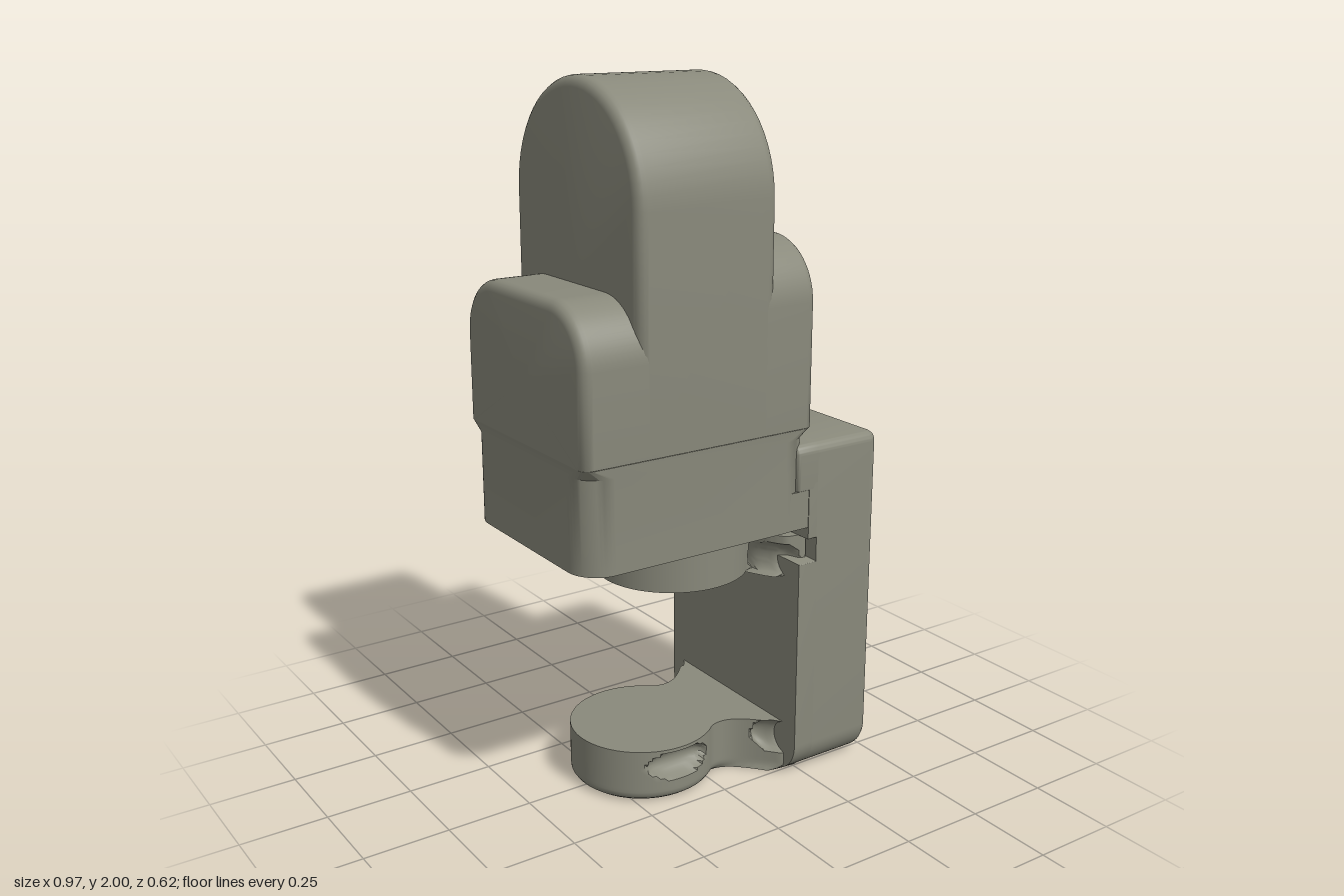
import * as THREE from 'three';
import { toCreasedNormals } from 'three/addons/utils/BufferGeometryUtils.js';

const material = new THREE.MeshStandardMaterial({ color: 0x89897b });
const D = 0.31; // half depth of the body

// Skin a list of equal-length rings and close both ends; faces are turned outwards.
function loft(rings) {
  const tris = [];
  const n = rings[0].length;
  for (let i = 0; i < rings.length - 1; i++) {
    for (let j = 0; j < n; j++) {
      const k = (j + 1) % n;
      const a = rings[i][j], b = rings[i][k], c = rings[i + 1][k], d = rings[i + 1][j];
      tris.push([a, b, c], [a, c, d]);
    }
  }
  const cap = (ring, flip) => {
    const mid = ring.reduce((s, p) => s.add(p), new THREE.Vector3()).divideScalar(n);
    ring.forEach((p, j) => {
      const q = ring[(j + 1) % n];
      tris.push(flip ? [mid, q, p] : [mid, p, q]);
    });
  };
  cap(rings[0], true);
  cap(rings[rings.length - 1], false);
  const cross = new THREE.Vector3();
  const volume = tris.reduce((s, [a, b, c]) => s + a.dot(cross.crossVectors(b, c)), 0);
  const points = tris.flatMap(([a, b, c]) => (volume > 0 ? [a, b, c] : [a, c, b]));
  return toCreasedNormals(new THREE.BufferGeometry().setFromPoints(points), 0.6);
}

// Rounded rectangle with separate radii for its lower and upper corners.
function outline(u0, u1, v0, v1, rLow, rHigh, steps = 14) {
  const a = Math.max(rLow, 0.002), b = Math.max(rHigh, 0.002);
  const corners = [[u1 - a, v0 + a, a], [u1 - b, v1 - b, b], [u0 + b, v1 - b, b], [u0 + a, v0 + a, a]];
  return corners.flatMap(([u, v, r], i) =>
    Array.from({ length: steps + 1 }, (_, k) => {
      const t = (i - 1 + k / steps) * Math.PI / 2;
      return [u + r * Math.cos(t), v + r * Math.sin(t)];
    }));
}

// Side profile swept along x, with rounded edges at either end.
function slab(x0, x1, y0, y1, rLow, rHigh, bevel0, bevel1) {
  const stations = [];
  const addBevel = (x, b, dir) => {
    const steps = b ? 4 : 0;
    const part = [];
    for (let k = 0; k <= steps; k++) {
      const t = steps ? (k / steps) * Math.PI / 2 : 0;
      part.push([x + dir * b * (1 - Math.cos(t)), b * (1 - Math.sin(t))]);
    }
    stations.push(...(dir > 0 ? part : part.reverse()));
  };
  addBevel(x0, bevel0, 1);
  addBevel(x1, bevel1, -1);
  return loft(stations.map(([x, inset]) =>
    outline(-D + inset, D - inset, y0 + (rLow ? inset : 0), y1 - inset, rLow - inset, rHigh - inset)
      .map(([z, y]) => new THREE.Vector3(x, y, z))));
}

// Clamp pad: a disc with a waisted neck flaring into the arm, and hollows in its sides.
function pad(cx, r, y0, y1, edge, hollows) {
  const start = Math.PI * 0.27;
  const sx = cx + r * Math.cos(start), sz = r * Math.sin(start);
  const shape = new THREE.Shape();
  shape.absarc(cx, 0, r, start, Math.PI * 2 - start, false);
  shape.bezierCurveTo(sx + 0.06, -sz + 0.03, 0.13, -0.17, 0.2, -0.26);
  shape.lineTo(0.26, -0.27);
  shape.lineTo(0.26, 0.27);
  shape.lineTo(0.2, 0.26);
  shape.bezierCurveTo(0.13, 0.17, sx + 0.06, sz - 0.03, sx, sz);
  const points = shape.getSpacedPoints(180).slice(0, -1);
  const rings = [];
  for (let i = 0; i <= 16; i++) {
    const y = y0 + (y1 - y0) * i / 16;
    const drop = Math.max(0, 1 - (y - y0) / edge);
    const scale = 1 - 0.1 * drop * drop;
    rings.push(points.map((p) => {
      let x = cx + (p.x - cx) * scale, z = p.y * scale;
      for (const [hx, hy, rx, ry, depth] of hollows) {
        const d = ((x - hx) / rx) ** 2 + ((y - hy) / ry) ** 2;
        if (d < 1) z -= Math.sign(z) * depth * Math.sqrt(1 - d);
      }
      return new THREE.Vector3(x, y, z);
    }));
  }
  return loft(rings);
}

export function createModel() {
  const group = new THREE.Group();
  const add = (name, geometry, x = 0, y = 0, z = 0) => {
    const mesh = new THREE.Mesh(geometry, material);
    mesh.name = name;
    mesh.position.set(x, y, z);
    group.add(mesh);
  };

  // Arched head and the two shoulders beside it
  add('head', slab(-0.32, 0.11, 1.06, 2, 0, D, 0.03, 0.03));
  add('lowShoulder', slab(-0.485, 0.1, 1.06, 1.47, 0, 0.16, 0.03, 0));
  add('highShoulder', slab(-0.1, 0.243, 1.06, 1.575, 0, 0.17, 0, 0.025));

  // Base block, its rounded corners spreading to the sharper body above
  const base = [[0.77, 0.09], [1.03, 0.09], [1.06, 0.03]];
  add('baseBlock', loft(base.map(([y, r]) =>
    outline(-0.485, 0.243, -D, D, r, r).map(([x, z]) => new THREE.Vector3(x, y, z)))));
  add('baseBridge', new THREE.BoxGeometry(0.27, 0.11, D * 2 - 0.004), 0.135, 0.825, 0);

  // Clamp arm with a notch on its inner side
  add('clampArm', slab(0.265, 0.483, 0, 1.012, 0.1, 0.03, 0, 0.03));
  add('armInnerLower', slab(0.205, 0.27, 0, 0.665, 0.1, 0, 0, 0));
  add('armInnerUpper', slab(0.193, 0.27, 0.88, 1.012, 0, 0.03, 0.012, 0));
  add('armInnerMiddle', slab(0.235, 0.27, 0.735, 0.9, 0, 0, 0, 0));

  // Clamp jaws
  const cornerHollow = (y) => [0.19, y, 0.05, 0.05, 0.05];
  add('lowerJaw', pad(-0.12, 0.21, 0, 0.157, 0.025, [[-0.12, 0.105, 0.1, 0.042, 0.05], cornerHollow(0.11)]));
  add('upperJaw', pad(-0.015, 0.22, 0.61, 0.735, 0.001, [cornerHollow(0.66)]));
  add('jawCollar', new THREE.CylinderGeometry(0.205, 0.205, 0.05, 64), -0.02, 0.752, 0);

  return group;
}
